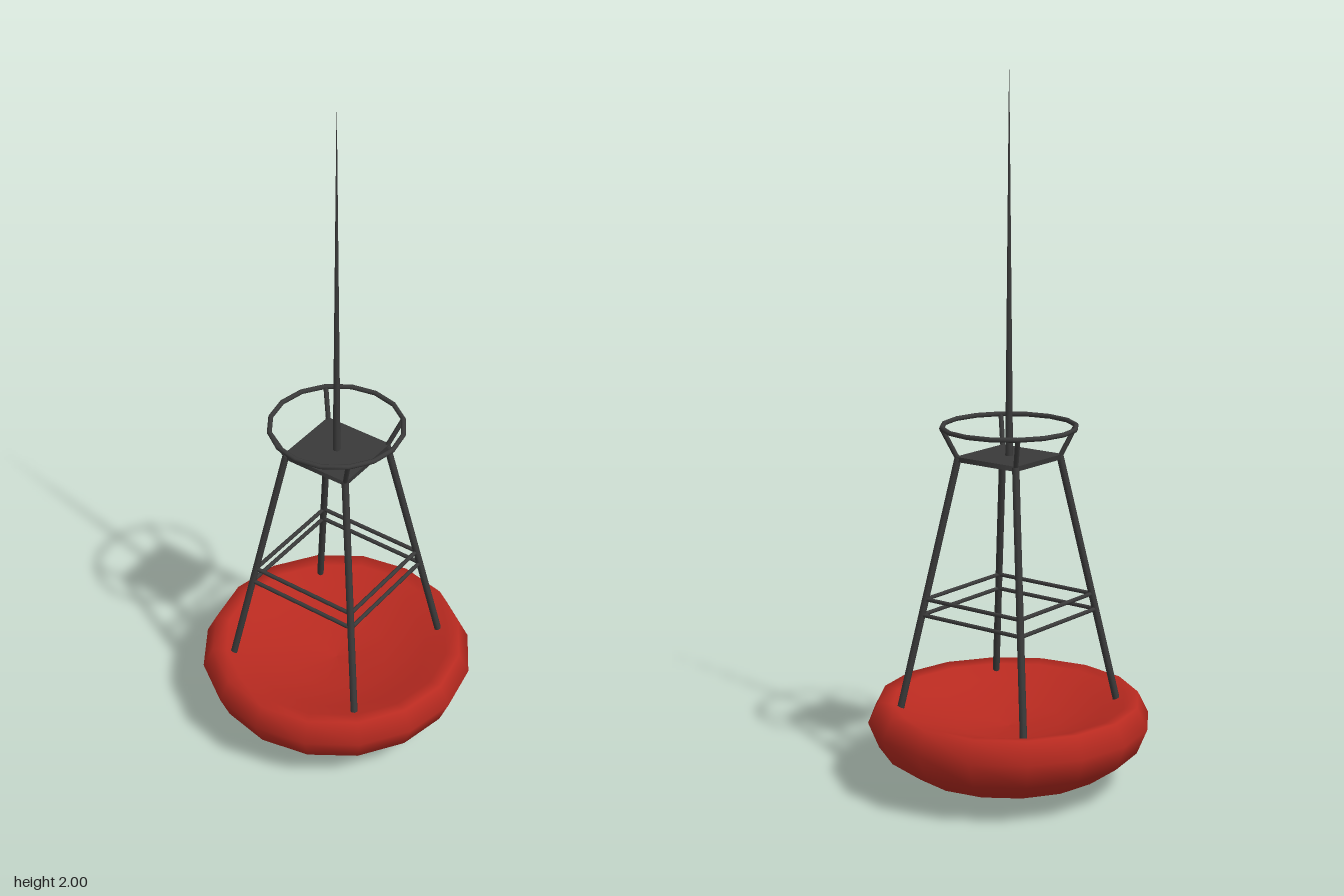
import * as THREE from 'three';

const red = new THREE.MeshStandardMaterial({ color: 0xb82a20 });
const dark = new THREE.MeshStandardMaterial({ color: 0x3a3a3a });
const v = (x, y, z) => new THREE.Vector3(x, y, z);

export function createModel() {
  const model = new THREE.Group();
  const add = (name, geometry, material = dark) => {
    const mesh = new THREE.Mesh(geometry, material);
    mesh.name = name;
    model.add(mesh);
    return mesh;
  };

  // Straight round bar between two points
  const bar = (name, a, b, radius) => {
    const dir = b.clone().sub(a);
    const mesh = add(name, new THREE.CylinderGeometry(radius, radius, dir.length(), 8));
    mesh.position.copy(a).add(b).multiplyScalar(0.5);
    mesh.quaternion.setFromUnitVectors(v(0, 1, 0), dir.normalize());
  };

  // Floating hull: squashed bowl with a rolled rim and a dished deck
  const profile = [
    [0, 0], [0.153, 0.014], [0.283, 0.055], [0.37, 0.117], [0.4, 0.19],
    [0.37, 0.25], [0.33, 0.243], [0.27, 0.217], [0.15, 0.18], [0, 0.165],
  ].map(([r, y]) => new THREE.Vector2(r, y));
  add('hull', new THREE.LatheGeometry(profile, 16), red);

  // Point on the leg line at height y, for the leg at the given quarter turn
  const foot = 0.225, top = 0.945;
  const polar = (r, y, i) => v(r * Math.sin(i * Math.PI / 2), y, r * Math.cos(i * Math.PI / 2));
  const onLeg = (y, i) => polar(THREE.MathUtils.mapLinear(y, foot, top, 0.309, 0.142), y, i);

  // Tower legs, cross braces and railing posts
  for (let i = 0; i < 4; i++) {
    bar('leg', onLeg(foot, i), onLeg(top, i), 0.01);
    for (const y of [0.5, 0.545]) bar('brace', onLeg(y, i), onLeg(y, i + 1), 0.006);
    bar('railingPost', polar(0.142, 0.942, i), polar(0.187, 1.03, i), 0.007);
  }

  // Diamond platform
  add('platform', new THREE.CylinderGeometry(0.15, 0.15, 0.014, 4).toNonIndexed()).position.y = 0.942;

  // Railing hoop
  const hoop = add('railingHoop', new THREE.TorusGeometry(0.187, 0.007, 8, 16));
  hoop.rotation.x = Math.PI / 2;
  hoop.position.y = 1.03;

  // Tapering mast
  add('mast', new THREE.CylinderGeometry(0.0005, 0.011, 1.06, 8)).position.y = 1.47;

  return model;
}
